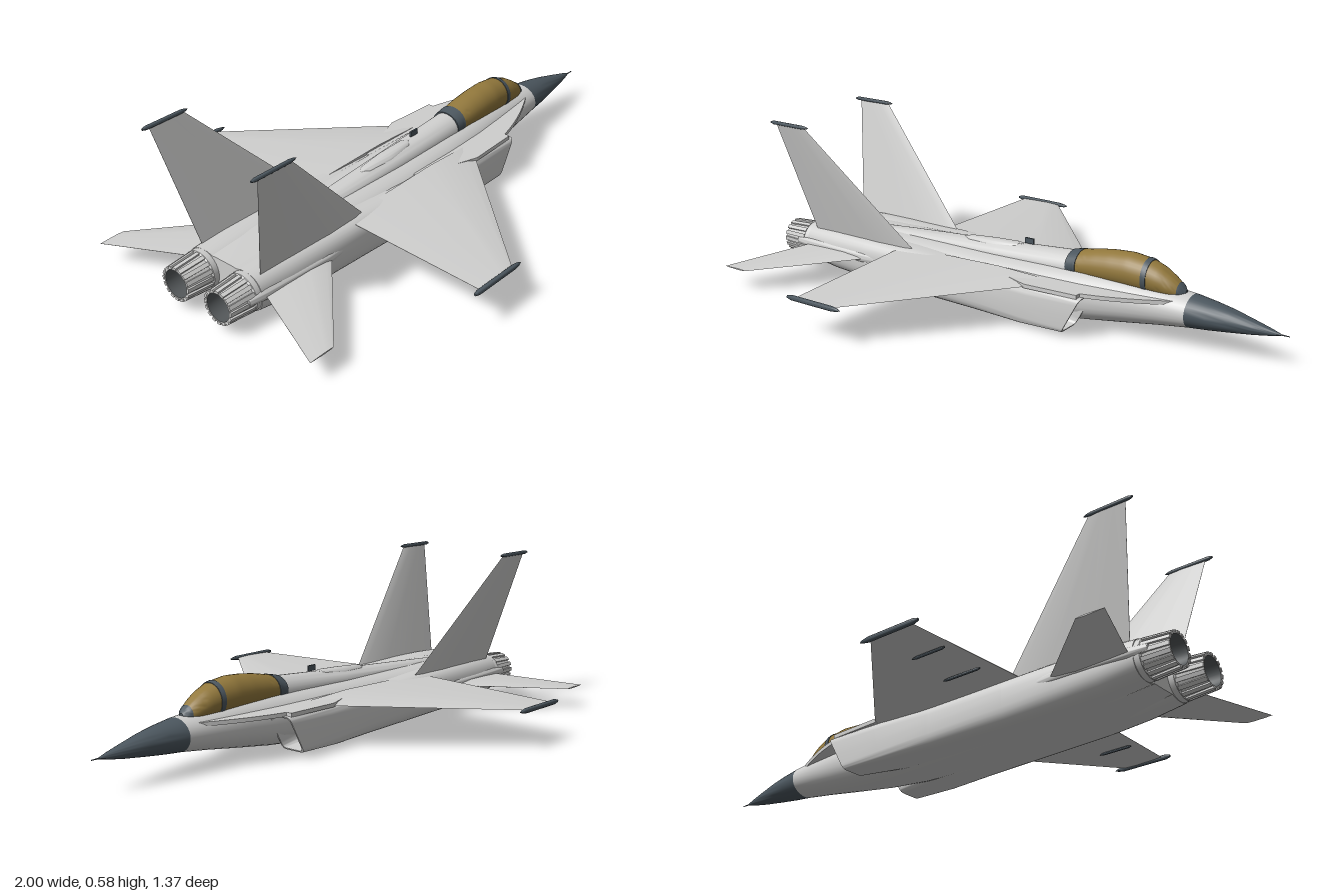
import * as THREE from 'three';
import { toCreasedNormals } from 'three/addons/utils/BufferGeometryUtils.js';

const material = (name, color) => {
  const m = new THREE.MeshStandardMaterial({ color });
  m.name = name;
  return m;
};

// Skin over superellipse sections [x, zCentre, halfWidth, yBottom, yTop, exponent, rake].
// Sections running towards -x give a surface that faces inwards.
function loft(sections, { sides = 32, startCap = true, endCap = true } = {}) {
  const pos = [], index = [];
  const rings = sections.map(([x, zc, w, y0, y1, e = 2, rake = 0]) => {
    const ring = [];
    for (let j = 0; j < sides; j++) {
      const a = (j / sides) * Math.PI * 2, c = Math.cos(a), s = Math.sin(a);
      const dy = Math.sign(s) * Math.abs(s) ** (2 / e) * (y1 - y0) / 2;
      ring.push([x + rake * dy, (y0 + y1) / 2 + dy, zc + w * Math.sign(c) * Math.abs(c) ** (2 / e)]);
    }
    return ring;
  });
  rings.forEach(r => r.forEach(p => pos.push(...p)));
  for (let i = 0; i < rings.length - 1; i++) {
    for (let j = 0; j < sides; j++) {
      const k = (j + 1) % sides, a = i * sides, b = a + sides;
      index.push(a + j, b + j, a + k, b + j, b + k, a + k);
    }
  }
  const cap = (i, flip) => {
    const [x, zc, , y0, y1] = sections[i], c = pos.length / 3;
    pos.push(x, (y0 + y1) / 2, zc);
    for (let j = 0; j < sides; j++) {
      const a = i * sides + j, b = i * sides + (j + 1) % sides;
      index.push(c, flip ? b : a, flip ? a : b);
    }
  };
  if (startCap) cap(0, false);
  if (endCap) cap(sections.length - 1, true);
  const g = new THREE.BufferGeometry();
  g.setAttribute('position', new THREE.Float32BufferAttribute(pos, 3));
  g.setIndex(index);
  return toCreasedNormals(g, 0.65);
}

// Tapered aerofoil between a root and a tip {le, te, t}; "up" is the thickness direction.
function aerofoil(root, tip, up) {
  const profile = [[0, 0], [0.08, 0.6], [0.35, 1], [0.7, 0.6], [1, 0.06], [1, -0.06], [0.7, -0.6], [0.35, -1], [0.08, -0.6]];
  const n = profile.length, pos = [], index = [];
  for (const { le, te, t } of [root, tip]) {
    for (const [f, h] of profile) {
      for (let k = 0; k < 3; k++) pos.push(le[k] + (te[k] - le[k]) * f + up[k] * h * t / 2);
    }
  }
  for (let j = 0; j < n; j++) {
    const k = (j + 1) % n;
    index.push(j, k, n + j, k, n + k, n + j);
    if (j > 0 && j < n - 1) index.push(0, j + 1, j, n, n + j, n + j + 1);
  }
  // Order the corners outwards whichever way the span runs
  const chord = new THREE.Vector3(...root.te).sub(new THREE.Vector3(...root.le));
  const span = new THREE.Vector3(...tip.le).sub(new THREE.Vector3(...root.le));
  if (chord.cross(span).dot(new THREE.Vector3(...up)) < 0) index.reverse();
  const g = new THREE.BufferGeometry();
  g.setAttribute('position', new THREE.Float32BufferAttribute(pos, 3));
  g.setIndex(index);
  return toCreasedNormals(g, 0.6);
}

// Copy across z = 0 with the corner order restored
function mirrored(geo) {
  const g = geo.clone().scale(1, 1, -1);
  const idx = g.index ? Array.from(g.index.array) : Array.from({ length: g.attributes.position.count }, (_, i) => i);
  for (let i = 0; i < idx.length; i += 3) [idx[i + 1], idx[i + 2]] = [idx[i + 2], idx[i + 1]];
  g.setIndex(idx);
  return g;
}

export function createModel() {
  const model = new THREE.Group();
  model.name = 'jetAircraft';
  const skin = material('lightGreySkin', 0xcfcfce);
  const slate = material('slateTrim', 0x4b565e);
  const amber = material('amberGlass', 0x92783c);
  const dark = material('darkInterior', 0x55595b);

  const add = (name, geo, mat) => {
    const mesh = new THREE.Mesh(geo, mat);
    mesh.name = name;
    model.add(mesh);
  };
  const pair = (name, geo, mat) => {
    add(name + 'Right', geo, mat);
    add(name + 'Left', mirrored(geo), mat);
  };

  // Central fuselage, nose cone and probe
  add('fuselage', loft([
    [-0.88, 0, 0.1, 0.035, 0.158, 4], [-0.7, 0, 0.12, 0.008, 0.168, 3.5], [-0.45, 0, 0.13, 0.001, 0.174, 3.2],
    [-0.1, 0, 0.13, 0, 0.182, 2.8], [0.12, 0, 0.122, 0.004, 0.19, 2.6], [0.28, 0, 0.11, 0.016, 0.195, 2.4],
    [0.42, 0, 0.094, 0.034, 0.194, 2.2], [0.55, 0, 0.08, 0.053, 0.186, 2.1], [0.66, 0, 0.067, 0.067, 0.178, 2]]), skin);
  add('noseCone', loft([
    [0.66, 0, 0.067, 0.067, 0.178], [0.73, 0, 0.056, 0.073, 0.169], [0.8, 0, 0.043, 0.081, 0.157],
    [0.88, 0, 0.026, 0.091, 0.138], [0.94, 0, 0.012, 0.101, 0.123], [0.97, 0, 0.003, 0.108, 0.114]]), slate);
  add('noseProbe', new THREE.CylinderGeometry(0.0015, 0.003, 0.04, 8).rotateZ(-Math.PI / 2).translate(0.98, 0.111, 0), slate);

  // Dorsal spine, hump and small aerial
  add('spine', loft([
    [-0.72, 0, 0.004, 0.15, 0.166], [-0.66, 0, 0.028, 0.14, 0.172], [-0.5, 0, 0.044, 0.13, 0.184],
    [-0.1, 0, 0.054, 0.13, 0.214], [0.22, 0, 0.057, 0.13, 0.24]]), skin);
  add('spineHump', loft([
    [-0.26, 0, 0.004, 0.18, 0.203], [-0.23, 0, 0.022, 0.18, 0.211], [-0.13, 0, 0.031, 0.18, 0.219],
    [-0.03, 0, 0.025, 0.19, 0.225], [0.005, 0, 0.004, 0.19, 0.221]]), skin);
  add('aerial', new THREE.BoxGeometry(0.035, 0.02, 0.006).translate(0.02, 0.237, 0), slate);

  // Bubble canopy with thin frame hoops over the glass
  const outline = [[0.2, 0.056, 0.24], [0.24, 0.058, 0.249], [0.3, 0.06, 0.262], [0.36, 0.061, 0.271], [0.43, 0.061, 0.276],
    [0.5, 0.057, 0.268], [0.55, 0.05, 0.249], [0.59, 0.04, 0.225], [0.62, 0.026, 0.202], [0.637, 0.008, 0.184]];
  const canopy = (x0, x1, grow, steps) => loft(Array.from({ length: steps + 1 }, (_, k) => {
    const x = x0 + (x1 - x0) * k / steps;
    const i = Math.min(outline.findIndex((p, n) => n > 0 && x <= p[0] + 1e-6), outline.length - 1);
    const a = outline[i - 1], b = outline[i], f = (x - a[0]) / (b[0] - a[0]);
    return [x, 0, a[1] + (b[1] - a[1]) * f + grow, 0.15, a[2] + (b[2] - a[2]) * f + grow];
  }));
  add('canopyGlass', canopy(0.21, 0.634, 0, 36), amber);
  add('canopyRearFrame', canopy(0.2, 0.24, 0.002, 4), slate);
  add('canopyHoop', canopy(0.492, 0.51, 0.002, 2), slate);
  add('canopyFrontFrame', canopy(0.612, 0.636, 0.002, 3), slate);

  // Engine trunks ending in raked intakes with an open duct
  const rake = 0.55;
  pair('engineTrunk', loft([
    [-0.88, 0.092, 0.072, 0.026, 0.163, 2.3], [-0.75, 0.096, 0.077, 0.012, 0.168, 2.5], [-0.6, 0.1, 0.079, 0.006, 0.168, 2.8],
    [-0.4, 0.1, 0.08, 0.004, 0.165, 3.2], [-0.1, 0.108, 0.08, 0.006, 0.156, 4],
    [0.12, 0.127, 0.07, 0.01, 0.152, 6, rake / 2], [0.31, 0.147, 0.049, 0.018, 0.15, 8, rake],
    [0.31, 0.147, 0.044, 0.023, 0.145, 8, rake]], { endCap: false }), skin);
  pair('intakeDuct', loft([
    [0.31, 0.147, 0.044, 0.023, 0.145, 8, rake], [0.2, 0.147, 0.042, 0.03, 0.138, 4, 0.2],
    [0.13, 0.147, 0.038, 0.046, 0.122, 2]], { startCap: false }), skin);
  pair('intakeFan', new THREE.CylinderGeometry(0.034, 0.034, 0.004, 24).rotateZ(Math.PI / 2).translate(0.134, 0.084, 0.147), slate);
  for (let i = 0; i < 12; i++) {
    pair('fanBlade' + i, new THREE.BoxGeometry(0.003, 0.024, 0.004).translate(0.138, 0.02, 0)
      .rotateX(i * Math.PI / 6).translate(0, 0.084, 0.147), skin);
  }

  // Leading-edge root extension
  const shape = new THREE.Shape();
  shape.moveTo(0.62, 0.05);
  shape.quadraticCurveTo(0.47, 0.135, 0.33, 0.168);
  shape.lineTo(0.33, 0.188);
  shape.lineTo(0.13, 0.198);
  shape.lineTo(-0.1, 0.12);
  shape.lineTo(-0.1, 0.03);
  pair('rootExtension', new THREE.ExtrudeGeometry(shape, { depth: 0.014, bevelEnabled: false, curveSegments: 14 })
    .rotateX(Math.PI / 2).translate(0, 0.162, 0), skin);

  // Wings, tailplanes and canted fins
  pair('wing', aerofoil({ le: [0.2, 0.154, 0.115], te: [-0.455, 0.154, 0.115], t: 0.03 },
    { le: [-0.3, 0.135, 0.672], te: [-0.46, 0.135, 0.672], t: 0.007 }, [0, 1, 0]), skin);
  pair('tailplane', aerofoil({ le: [-0.56, 0.101, 0.15], te: [-0.86, 0.101, 0.15], t: 0.018 },
    { le: [-0.895, 0.078, 0.475], te: [-0.993, 0.078, 0.475], t: 0.005 }, [0, 1, 0]), skin);
  pair('fin', aerofoil({ le: [-0.385, 0.15, 0.13], te: [-0.853, 0.15, 0.13], t: 0.022 },
    { le: [-0.8, 0.57, 0.235], te: [-0.935, 0.57, 0.235], t: 0.006 }, [0, -0.24, 0.97]), skin);
  pair('tailBoom', loft([
    [-0.93, 0.152, 0.012, 0.088, 0.114], [-0.86, 0.155, 0.018, 0.08, 0.122],
    [-0.6, 0.165, 0.02, 0.08, 0.122], [-0.45, 0.16, 0.01, 0.085, 0.115]]), skin);

  // Tip pods and slim rails under the wings
  const pod = (x0, x1, y, z, r) => loft([[0, 0.5], [0.08, 1], [0.85, 1], [0.95, 0.6], [1, 0.1]].map(
    ([f, s]) => [x0 + (x1 - x0) * f, z, r * s, y - r * s, y + r * s]), { sides: 12 });
  pair('wingTipPod', pod(-0.49, -0.26, 0.135, 0.675, 0.009), slate);
  pair('finTipPod', pod(-0.96, -0.78, 0.571, 0.235, 0.007), slate);
  pair('innerRail', pod(-0.43, -0.28, 0.131, 0.32, 0.005), slate);
  pair('outerRail', pod(-0.44, -0.31, 0.13, 0.5, 0.005), slate);

  // Exhaust nozzles with ribbed petals
  const profile = [[0.066, 0.86], [0.068, 0.875], [0.068, 0.9], [0.062, 0.905], [0.054, 0.998], [0.049, 0.998]];
  const lathe = pts => new THREE.LatheGeometry(pts.map(p => new THREE.Vector2(...p)), 32)
    .rotateZ(Math.PI / 2).translate(0, 0.095, 0.095);
  pair('nozzle', toCreasedNormals(lathe(profile), 0.5), skin);
  pair('nozzleInside', lathe([[0.049, 0.998], [0.052, 0.93], [0.04, 0.89], [0, 0.885]]), dark);
  for (let i = 0; i < 16; i++) {
    pair('nozzlePetal' + i, new THREE.BoxGeometry(0.098, 0.008, 0.014).rotateZ(0.07)
      .translate(-0.951, 0.0595, 0).rotateX(i * Math.PI / 8).translate(0, 0.095, 0.095), skin);
  }
  return model;
}
